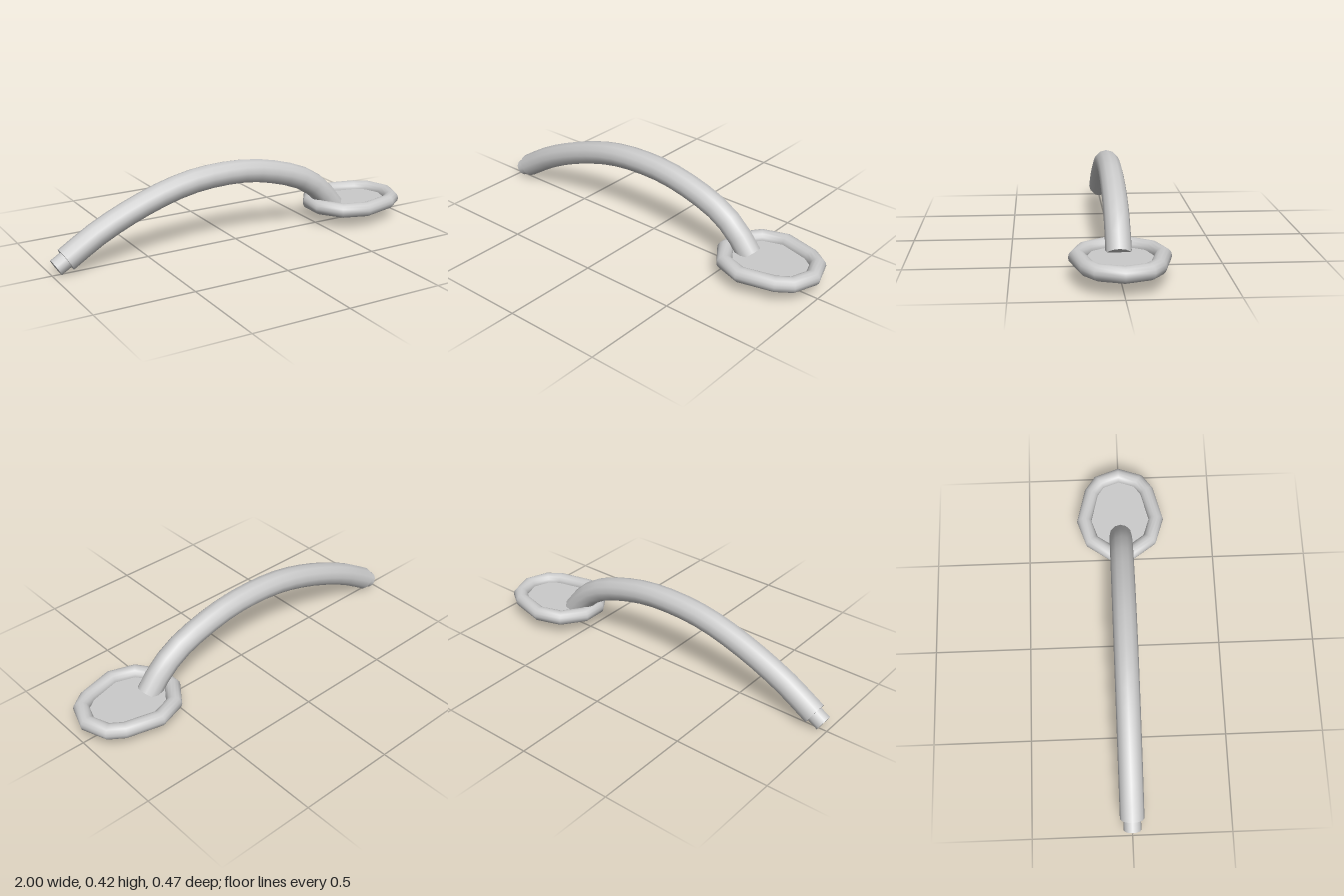
import * as THREE from 'three';

const material = new THREE.MeshStandardMaterial({ color: 0xcccccc, side: THREE.DoubleSide });

function addMesh(parent, name, geometry) {
  const mesh = new THREE.Mesh(geometry, material);
  mesh.name = name;
  parent.add(mesh);
  return mesh;
}

// Round bar swept around a closed polygon with mitred corners, lying flat
function ringGeometry(outline, radius, sides) {
  const n = outline.length, positions = [], indices = [];
  const edgeNormal = (a, b) => new THREE.Vector2(b.y - a.y, a.x - b.x).normalize();
  outline.forEach((p, i) => {
    const n1 = edgeNormal(outline[(i + n - 1) % n], p);
    const n2 = edgeNormal(p, outline[(i + 1) % n]);
    const mitre = n1.clone().add(n2).divideScalar(1 + n1.dot(n2));
    for (let j = 0; j < sides; j++) {
      const a = (j / sides) * Math.PI * 2, r = Math.cos(a) * radius;
      positions.push(p.x + mitre.x * r, Math.sin(a) * radius, p.y + mitre.y * r);
      const k = (j + 1) % sides, next = ((i + 1) % n) * sides;
      const q = [i * sides + j, i * sides + k, next + k, next + j];
      indices.push(q[0], q[1], q[2], q[0], q[2], q[3]);
    }
  });
  const geometry = new THREE.BufferGeometry();
  geometry.setAttribute('position', new THREE.Float32BufferAttribute(positions, 3));
  geometry.setIndex(indices);
  geometry.computeVertexNormals();
  return geometry;
}

export function createModel() {
  const group = new THREE.Group();

  // Arched neck
  const path = new THREE.CatmullRomCurve3([
    [-0.927, 0.083], [-0.75, 0.19], [-0.5, 0.297], [-0.27, 0.36], [-0.06, 0.377],
    [0.13, 0.363], [0.36, 0.3], [0.46, 0.248], [0.535, 0.185], [0.605, 0.1],
  ].map(([x, y]) => new THREE.Vector3(x, y, 0)));
  const neck = new THREE.Group();
  neck.name = 'neck';
  group.add(neck);
  addMesh(neck, 'neckTube', new THREE.TubeGeometry(path, 18, 0.061, 12));
  for (const [name, t, sign] of [['neckBaseCap', 0, -1], ['neckTipCap', 1, 1]]) {
    const cap = addMesh(neck, name, new THREE.CircleGeometry(0.061, 12));
    cap.position.copy(path.getPointAt(t));
    cap.lookAt(cap.position.clone().addScaledVector(path.getTangentAt(t), sign));
  }

  // Narrow plug at the base of the neck
  const axis = path.getTangentAt(0);
  const plug = addMesh(group, 'plug', new THREE.CylinderGeometry(0.044, 0.044, 0.1, 12));
  plug.position.copy(path.getPointAt(0)).addScaledVector(axis, -0.01);
  plug.quaternion.setFromUnitVectors(new THREE.Vector3(0, 1, 0), axis);

  // Flat head: one half of the outline, mirrored across its length
  const half = [[0.497, 0.052], [0.57, 0.155], [0.69, 0.195], [0.86, 0.153], [0.924, 0.108]];
  const outline = [
    ...half.slice().reverse(), ...half.map(([x, z]) => [x, -z]), [0.963, 0],
  ].map(([x, z]) => new THREE.Vector2(x, z));
  const head = new THREE.Group();
  head.name = 'head';
  head.position.y = 0.115;
  group.add(head);
  addMesh(head, 'headRim', ringGeometry(outline, 0.038, 14));
  const plate = new THREE.ShapeGeometry(new THREE.Shape(outline));
  addMesh(head, 'headPlate', plate.rotateX(-Math.PI / 2));

  return group;
}
